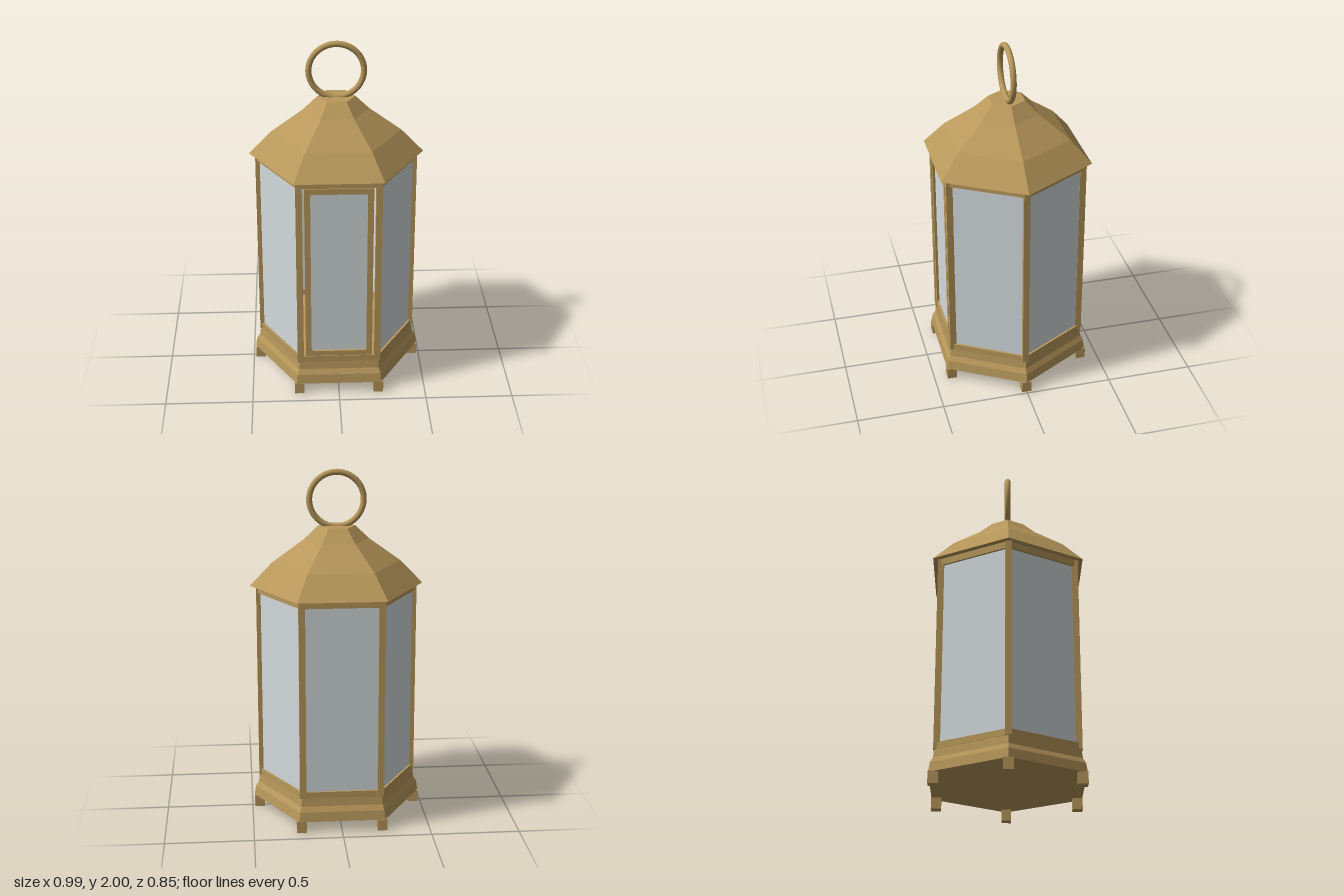
import * as THREE from 'three';

export function createModel() {
  const brass = new THREE.MeshStandardMaterial({ color: 0xb8985b });
  brass.name = 'brass';
  const glass = new THREE.MeshStandardMaterial({ color: 0xd3dadc });
  glass.name = 'frostedGlass';

  const model = new THREE.Group();
  model.name = 'lantern';

  const add = (parent, name, geometry, material, x = 0, y = 0, z = 0) => {
    const mesh = new THREE.Mesh(geometry, material);
    mesh.name = name;
    mesh.position.set(x, y, z);
    parent.add(mesh);
    return mesh;
  };
  const box = (w, h, d) => new THREE.BoxGeometry(w, h, d);

  // Six-sided solid from a [radius, height] profile, corners on the x axis
  const hexSolid = (profile) => {
    const points = profile.map(([r, y]) => new THREE.Vector2(r, y));
    const geometry = new THREE.LatheGeometry(points, 6, Math.PI / 6).toNonIndexed();
    geometry.computeVertexNormals(); // crisp facets
    return geometry;
  };

  const postRadius = 0.44;
  const apothem = postRadius * Math.cos(Math.PI / 6);

  // Moulded base and stepped roof
  add(model, 'base', hexSolid([
    [0, 0.065], [0.488, 0.065], [0.479, 0.12], [0.461, 0.15], [0.455, 0.198], [0, 0.198],
  ]), brass);
  add(model, 'roof', hexSolid([
    [0, 1.342], [0.493, 1.342], [0.365, 1.475], [0.185, 1.605], [0.107, 1.68], [0, 1.68],
  ]), brass);

  // Carrying ring
  add(model, 'ring', new THREE.TorusGeometry(0.153, 0.017, 16, 64), brass, 0, 1.83, 0);

  // Feet and corner posts
  for (let i = 0; i < 6; i++) {
    const a = (i * Math.PI) / 3;
    const c = Math.cos(a), s = Math.sin(a);
    add(model, 'foot', box(0.056, 0.068, 0.056), brass, 0.458 * c, 0.034, 0.458 * s);
    add(model, 'post', box(0.036, 1.146, 0.036), brass, postRadius * c, 0.77, postRadius * s);
  }

  // Rectangle with slightly rounded corners, used for the door opening
  const roundedRect = (x0, y0, x1, y1, r) => {
    const p = new THREE.Path();
    p.absarc(x1 - r, y1 - r, r, 0, Math.PI / 2);
    p.absarc(x0 + r, y1 - r, r, Math.PI / 2, Math.PI);
    p.absarc(x0 + r, y0 + r, r, Math.PI, Math.PI * 1.5);
    p.absarc(x1 - r, y0 + r, r, Math.PI * 1.5, Math.PI * 2);
    p.closePath();
    return p;
  };

  // Six walls: rails top and bottom, a door in front and glass elsewhere
  for (let i = 0; i < 6; i++) {
    const wall = new THREE.Group();
    wall.name = i === 0 ? 'doorWall' : 'glassWall';
    wall.rotation.y = (i * Math.PI) / 3;
    model.add(wall);

    add(wall, 'bottomRail', box(0.43, 0.036, 0.03), brass, 0, 0.216, apothem);
    add(wall, 'topRail', box(0.43, 0.04, 0.03), brass, 0, 1.322, apothem);

    if (i === 0) {
      const frame = new THREE.Shape([
        new THREE.Vector2(-0.19, 0.238), new THREE.Vector2(0.19, 0.238),
        new THREE.Vector2(0.19, 1.3), new THREE.Vector2(-0.19, 1.3),
      ]);
      frame.holes.push(roundedRect(-0.157, 0.27, 0.157, 1.266, 0.01));
      const doorGeometry = new THREE.ExtrudeGeometry(frame, {
        depth: 0.03, bevelEnabled: false, curveSegments: 4,
      });
      add(wall, 'doorFrame', doorGeometry, brass, 0, 0, apothem - 0.013);
      add(wall, 'doorGlass', box(0.33, 1.01, 0.006), glass, 0, 0.768, apothem);
    } else {
      add(wall, 'pane', box(0.42, 1.08, 0.006), glass, 0, 0.768, apothem);
    }
  }

  return model;
}
